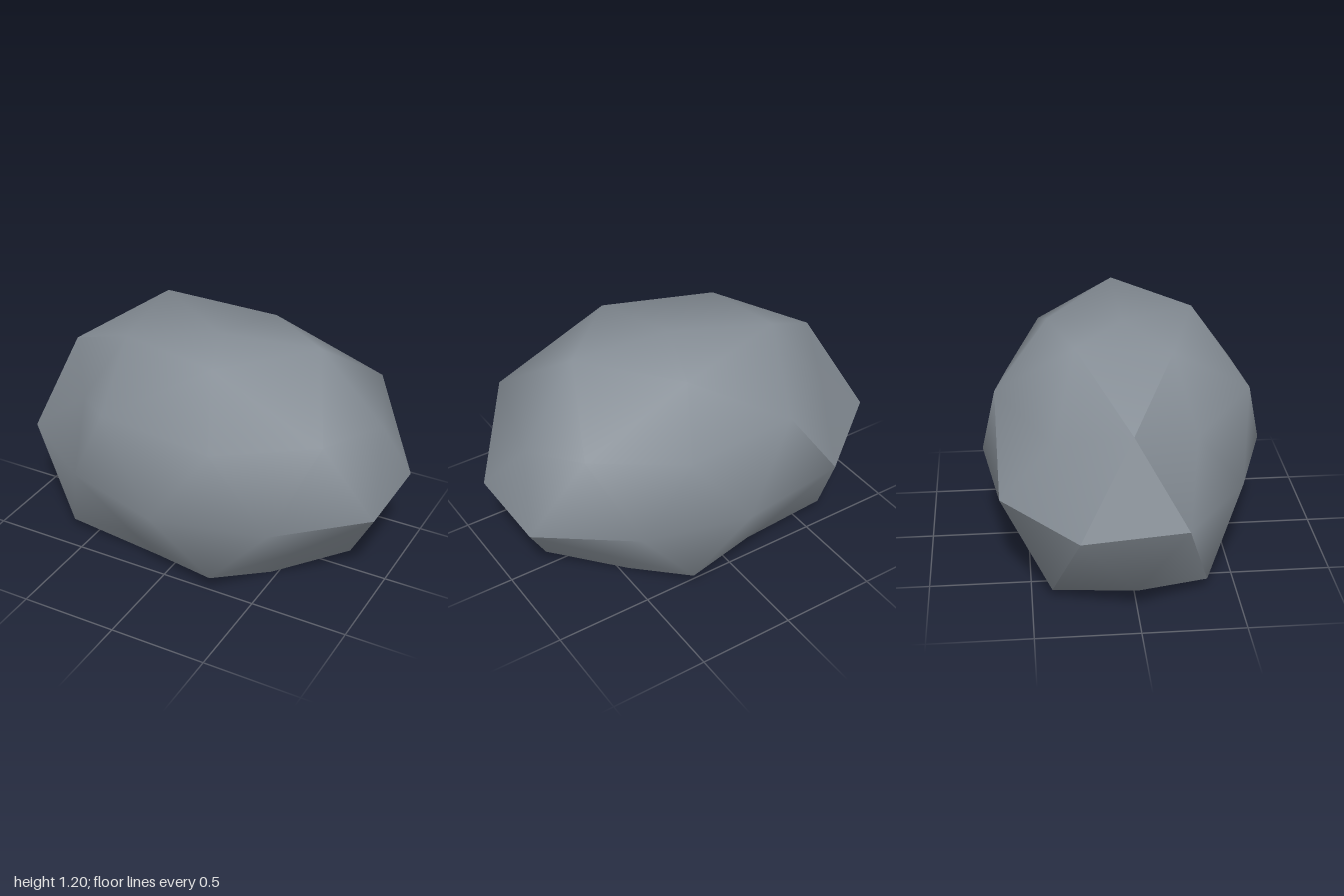
import * as THREE from 'three';

// Rings of the boulder as [x, y, z], going round from +x towards +z
const POLE_TOP = [[.04, 1.16, 0]];
const TOP = [[.59, 1.2, -.01], [.2, 1.17, .37], [-.36, 1.14, .21], [-.39, 1.19, -.26], [.18, 1.13, -.37]];
const UPPER = [[.905, .83, -.07], [.79, .92, .385], [.3, .845, .59], [-.27, .91, .6], [-.56, .79, .31],
  [-.81, .92, -.02], [-.63, .81, -.38], [-.23, .92, -.645], [.29, .82, -.58], [.76, .92, -.4]];
const GIRTH = [[1, .22], [.61, .58], [.05, .715], [-.48, .55], [-.93, .23],
  [-1, -.28], [-.54, -.64], [.04, -.72], [.57, -.58], [1, -.26]].map(([x, z]) => [x, .485, z]);
const LOWER = [[.8, .1, -.01], [.63, .23, .31], [.28, .1, .535], [-.18, .21, .51], [-.63, .05, .36],
  [-.82, .12, 0], [-.65, .04, -.4], [-.2, .21, -.55], [.27, .1, -.57], [.62, .23, -.33]];
const BASE = [[.47, 0, .22], [-.11, 0, .37], [-.55, 0, 0], [-.14, 0, -.4], [.46, 0, -.25]];
const POLE_BASE = [[0, 0, 0]];

// Smooth normals that break at edges sharper than the limit
function smoothFans(faces, normals, limit) {
  const minDot = Math.cos(limit);
  const corners = [];
  faces.forEach((face, start) => face.forEach(v => {
    const fan = [start];
    for (let i = 0; i < fan.length; i++) {
      faces.forEach((other, o) => {
        if (fan.includes(o) || !other.includes(v)) return;
        const shared = other.filter(c => faces[fan[i]].includes(c)).length;
        if (shared === 2 && normals[o].dot(normals[fan[i]]) > minDot) fan.push(o);
      });
    }
    const n = new THREE.Vector3();
    fan.forEach(f => n.add(normals[f]));
    corners.push(...n.normalize().toArray());
  }));
  return corners;
}

function boulderGeometry() {
  const points = [POLE_TOP, TOP, UPPER, GIRTH, LOWER, BASE, POLE_BASE].flat()
    .map(p => new THREE.Vector3(...p));
  const top = j => 1 + j % 5, upper = k => 6 + k % 10, girth = k => 16 + k % 10;
  const lower = k => 26 + k % 10, base = j => 36 + j % 5;
  const faces = [];

  // Side bands above and below the girth
  for (let k = 0; k < 10; k++) {
    for (const ring of [upper, lower]) {
      faces.push([ring(k), girth(k), ring(k + 1)], [girth(k), girth(k + 1), ring(k + 1)]);
    }
  }
  // Caps
  const cap = (inner, ring, shift, pole) => {
    for (let j = 0; j < 5; j++) {
      const k = 2 * j + shift + 10;
      faces.push([inner(j), ring(k - 1), ring(k)], [inner(j), ring(k), ring(k + 1)],
        [inner(j), ring(k + 1), inner(j + 1)], [inner(j), inner(j + 1), pole]);
    }
  };
  cap(top, upper, 0, 0);
  cap(base, lower, 1, 41);

  // Turn every face outwards
  const centre = new THREE.Vector3(0, .55, 0);
  const normals = faces.map(face => {
    const [a, b, c] = face.map(i => points[i]);
    const n = b.clone().sub(a).cross(c.clone().sub(a)).normalize();
    const middle = a.clone().add(b).add(c).divideScalar(3).sub(centre);
    if (n.dot(middle) < 0) {
      face.reverse();
      n.negate();
    }
    return n;
  });

  const positions = faces.flat().flatMap(i => points[i].toArray());
  const geometry = new THREE.BufferGeometry();
  geometry.setAttribute('position', new THREE.Float32BufferAttribute(positions, 3));
  geometry.setAttribute('normal', new THREE.Float32BufferAttribute(smoothFans(faces, normals, .61), 3));
  return geometry;
}

export function createModel() {
  const stone = new THREE.MeshStandardMaterial({ color: 0x868e96 });
  stone.name = 'stone grey';
  const boulder = new THREE.Mesh(boulderGeometry(), stone);
  boulder.name = 'boulder';
  const group = new THREE.Group();
  group.name = 'rock';
  group.add(boulder);
  return group;
}
